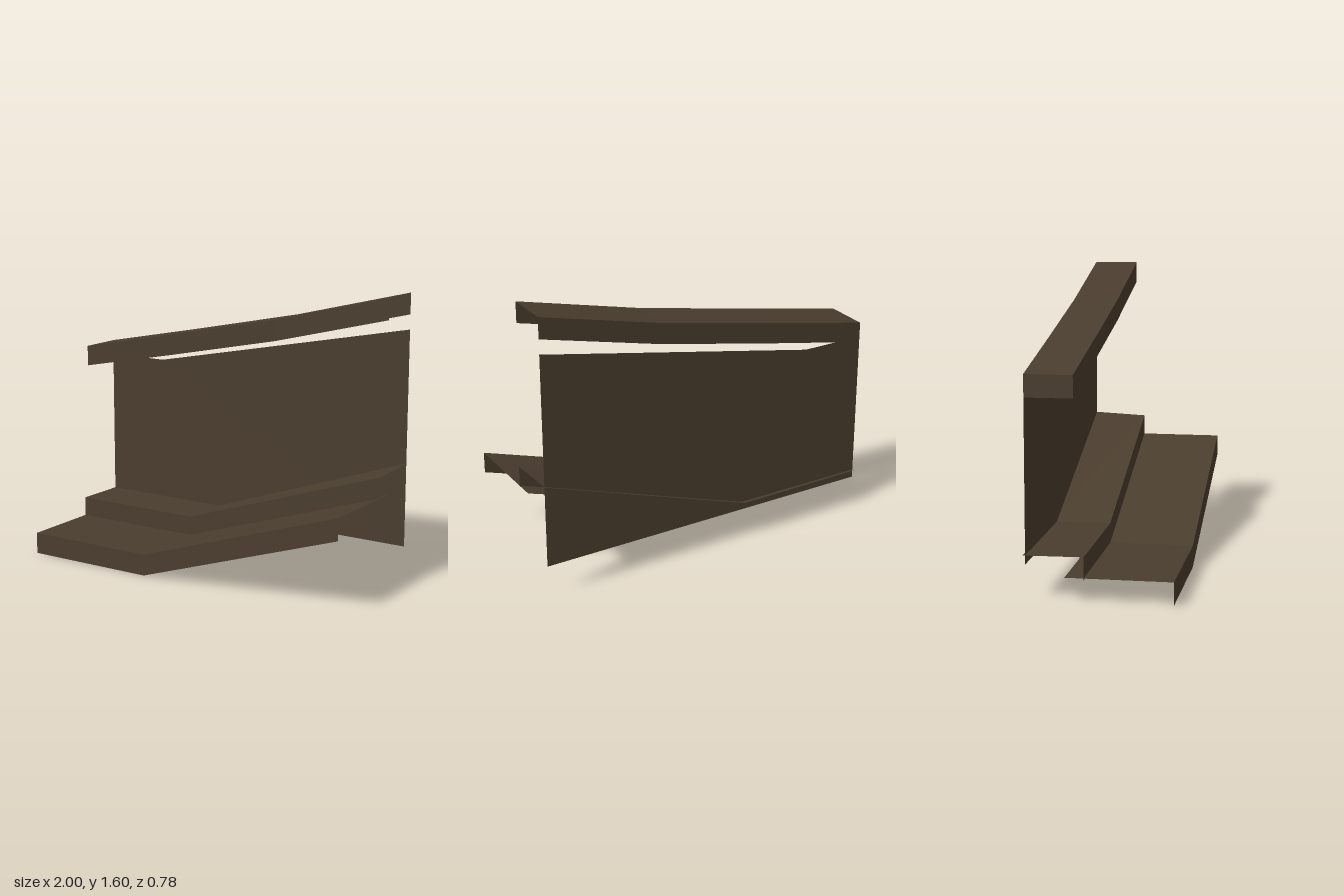
import * as THREE from 'three';

const timber = new THREE.MeshStandardMaterial({ color: 0x4a3d2e, side: THREE.DoubleSide });
timber.name = 'dark brown timber';

// Open sheet spanned between two edges that have the same number of points
function sheet(name, upper, lower) {
  const pos = [];
  for (let i = 0; i < upper.length - 1; i++) {
    const [a, b, c, d] = [upper[i], lower[i], lower[i + 1], upper[i + 1]];
    pos.push(...a, ...b, ...c, ...a, ...c, ...d);
  }
  const geometry = new THREE.BufferGeometry();
  geometry.setAttribute('position', new THREE.Float32BufferAttribute(pos, 3));
  geometry.computeVertexNormals();
  const mesh = new THREE.Mesh(geometry, timber);
  mesh.name = name;
  return mesh;
}

// Edge following a list of [x, y] points at depth z, shifted by dy
const edge = (path, z, dy = 0) => path.map(([x, y]) => [x, y + dy, z]);

function part(name, ...meshes) {
  const group = new THREE.Group();
  group.name = name;
  group.add(...meshes);
  return group;
}

export function createModel() {
  const model = new THREE.Group();
  model.name = 'slopedLedge';

  // Lower step: tread and front face, open below
  const low = [[-1, 0.125], [-0.23, 0.125], [1, 0.53]];
  model.add(part('lowerStep',
    sheet('lowerTread', edge(low, -0.17), edge(low, 0.39)),
    sheet('lowerFront', edge(low, 0.39), edge(low, 0.39, -0.122))));

  // Upper step: the tread runs slightly through the wall
  const mid = [[-1, 0.235], [-0.23, 0.235], [1, 0.645]];
  const midBack = [[-1, 0.232, -0.385], [-0.23, 0.232, -0.392], [1, 0.66, -0.38]];
  model.add(part('upperStep',
    sheet('upperTread', midBack, edge(mid, -0.07)),
    sheet('upperFront', edge(mid, -0.07), edge(mid, -0.07, -0.12))));

  // Back wall
  const wallTop = [[-1, 1.075], [-0.63, 1.075], [1, 1.4]];
  const wallBottom = wallTop.map(([x]) => [x, 0.185]);
  model.add(sheet('backWall', edge(wallTop, -0.372), edge(wallBottom, -0.372)));

  // Rail: a channel open below and at the high end, capped at the low end
  const rail = [[-1, 1.16], [-0.4, 1.28], [0.3, 1.425], [1, 1.6]];
  const zf = -0.12, zb = -0.372, h = -0.118;
  model.add(part('topRail',
    sheet('railTop', edge(rail, zb), edge(rail, zf)),
    sheet('railFront', edge(rail, zf), edge(rail, zf, h)),
    sheet('railBack', edge(rail, zb, h), edge(rail, zb)),
    sheet('railEnd', [[-1, 1.16, zb], [-1, 1.16, zf]], [[-1, 1.16 + h, zb], [-1, 1.16 + h, zf]])));

  return model;
}
